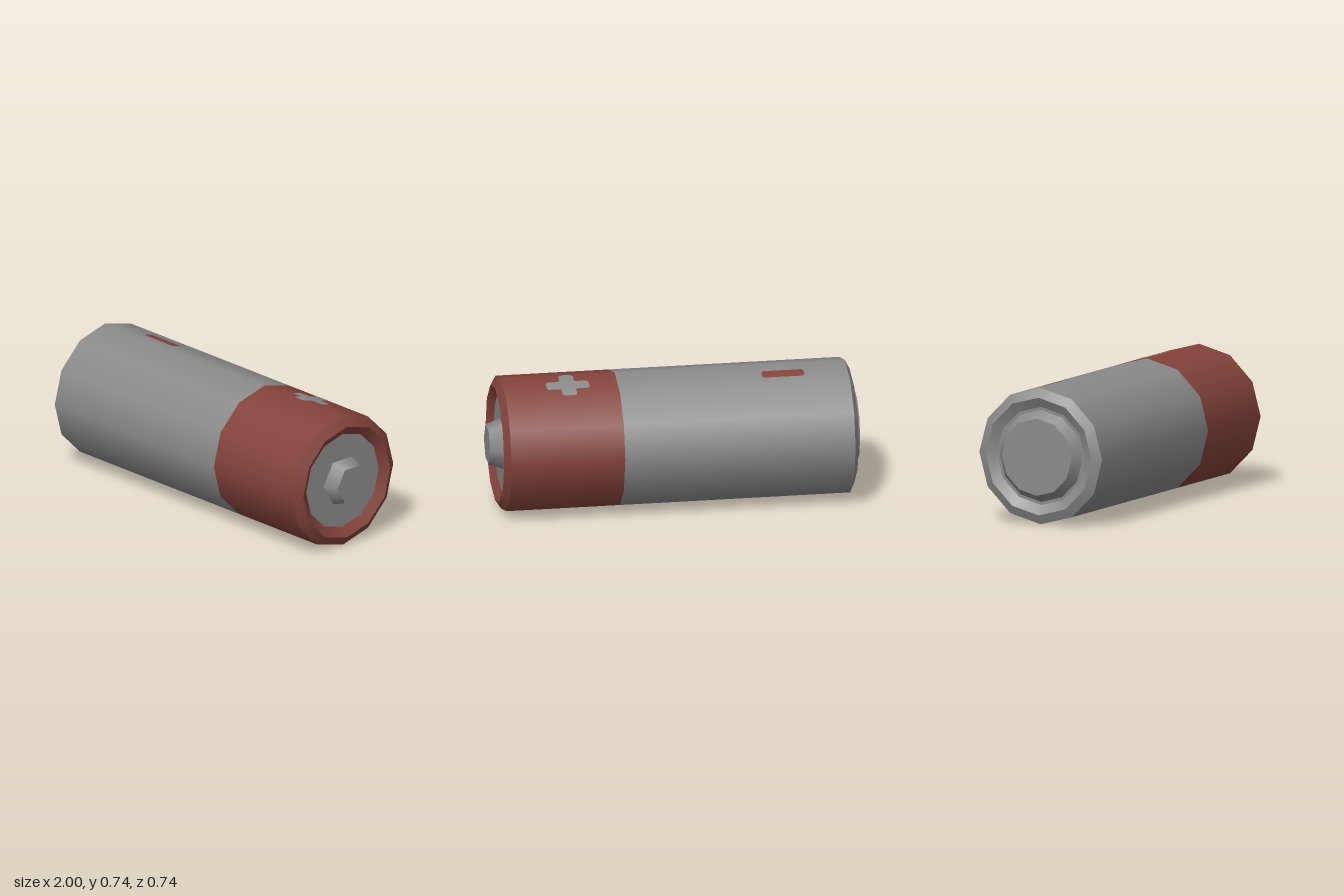
import * as THREE from 'three';

const R = 0.371; // body radius, also the height of the axis
const CUT = 0.012; // size of the trimmed corners on the symbols

function makeMaterial(name, color) {
  const m = new THREE.MeshStandardMaterial({ color });
  m.name = name;
  return m;
}

// One group of lathed bands along x; every band is smooth around, with sharp edges between bands.
// The profile is a list of [x, radius] running from the -x end to the +x end.
function bands(name, profile, sides, material) {
  const group = new THREE.Group();
  group.name = name;
  for (let i = 0; i < profile.length - 1; i++) {
    const points = [profile[i], profile[i + 1]].map(([x, r]) => new THREE.Vector2(r, x));
    const mesh = new THREE.Mesh(new THREE.LatheGeometry(points, sides), material);
    mesh.name = `${name}Band${i + 1}`;
    mesh.rotation.z = -Math.PI / 2;
    group.add(mesh);
  }
  return group;
}

// Flat symbol lying on the facet just behind the top edge, shaded like the rounded body
function symbol(name, corners, x, material) {
  const shape = new THREE.Shape(corners.map(([u, v]) => new THREE.Vector2(u, v)));
  const geometry = new THREE.ShapeGeometry(shape);
  geometry.translate(x, 0, R * Math.cos(Math.PI / 12) + 0.002);
  geometry.rotateX(-Math.PI / 2 - Math.PI / 12);
  const pos = geometry.attributes.position;
  const n = new THREE.Vector3();
  for (let i = 0; i < pos.count; i++) {
    n.set(0, pos.getY(i), pos.getZ(i)).normalize();
    geometry.attributes.normal.setXYZ(i, n.x, n.y, n.z);
  }
  const mesh = new THREE.Mesh(geometry, material);
  mesh.name = name;
  return mesh;
}

// Rotates a quarter outline through the four quadrants by mirroring it
function mirrorQuarter(quarter) {
  const back = [...quarter].reverse();
  return [
    ...quarter,
    ...back.map(([u, v]) => [-u, v]),
    ...quarter.map(([u, v]) => [-u, -v]),
    ...back.map(([u, v]) => [u, -v]),
  ];
}

export function createModel() {
  const grey = makeMaterial('grey metal', 0x8a8a8a);
  const red = makeMaterial('red wrap', 0x84433b);

  const model = new THREE.Group();
  model.name = 'battery';
  const cell = new THREE.Group();
  cell.name = 'cell';
  cell.position.y = R;
  model.add(cell);

  // Negative end: raised disc, recessed floor, rim and chamfer, then the grey body
  cell.add(bands('negativeTerminal', [[-1, 0], [-1, 0.21], [-0.945, 0.25]], 12, grey));
  cell.add(bands('greyBody',
    [[-0.945, 0.25], [-0.945, 0.267], [-0.975, 0.32], [-0.95, R], [0.305, R]], 12, grey));

  // Positive end: red body, chamfer and inward lip, then the grey floor and hexagonal nub
  cell.add(bands('redBody', [[0.305, R], [0.925, R], [0.957, 0.32], [0.922, 0.267]], 12, red));
  cell.add(bands('positiveFloor', [[0.922, 0.267], [0.922, 0]], 12, grey));
  cell.add(bands('positiveTerminal', [[0.92, 0.14], [1, 0.109], [1, 0]], 6, grey));

  // Plus and minus marks
  const plus = mirrorQuarter([
    [0.117, 0.034 - CUT], [0.117 - CUT, 0.034], [0.04 + CUT / 2, 0.034],
    [0.04, 0.034 + CUT / 2], [0.04, 0.094 - CUT], [0.04 - CUT, 0.094],
  ]);
  const minus = mirrorQuarter([[0.115, 0.03 - CUT], [0.115 - CUT, 0.03]]);
  cell.add(symbol('plusMark', plus, 0.575, grey));
  cell.add(symbol('minusMark', minus, -0.597, red));

  return model;
}
